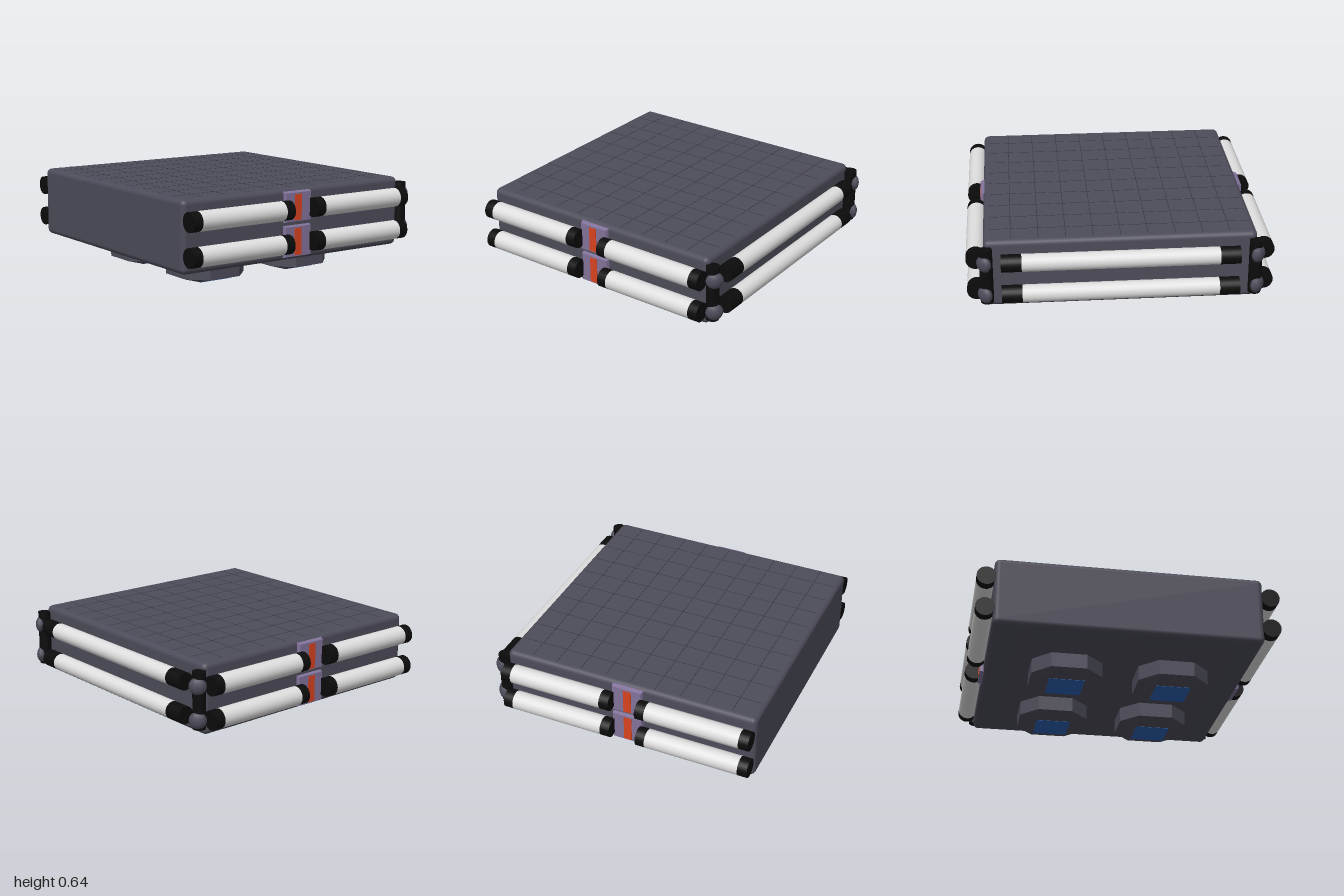
import * as THREE from 'three';
import { RoundedBoxGeometry } from 'three/addons/geometries/RoundedBoxGeometry.js';

const mat = (name, color) => Object.assign(new THREE.MeshStandardMaterial({ color }), { name });

export function createModel() {
  const slate = mat('slate', 0x4d4c5a);
  const groove = mat('groove', 0x35343f);
  const black = mat('black', 0x0c0c0c);
  const white = mat('white', 0xdedede);
  const purple = mat('purple', 0x82729a);
  const orange = mat('orange', 0xd8431f);
  const blue = mat('blue', 0x2a60b0);

  const model = new THREE.Group();
  model.name = 'platform';
  const add = (name, geo, material, x = 0, y = 0, z = 0, parent = model) => {
    const m = new THREE.Mesh(geo, material);
    m.name = name;
    m.position.set(x, y, z);
    parent.add(m);
    return m;
  };

  // Main slab
  add('body', new RoundedBoxGeometry(1.77, 0.47, 1.77, 4, 0.035), slate, 0, 0.405, 0.055);

  // Fine tile lines on the deck
  for (let i = -4; i <= 4; i++) {
    add('deckLine', new THREE.BoxGeometry(0.004, 0.002, 1.7), groove, i * 0.177, 0.64, 0.055);
    add('deckLine', new THREE.BoxGeometry(1.7, 0.002, 0.004), groove, 0, 0.64, 0.055 + i * 0.177);
  }

  // Capped tube along z, from z0 to z1 with end caps of length c
  const tube = (length, c, r) => {
    const g = new THREE.Group();
    g.name = 'bumperTube';
    const cyl = (len, open) => new THREE.CylinderGeometry(r, r, len, 24, 1, open).rotateX(Math.PI / 2);
    add('tubeShaft', cyl(length - 2 * c, true), white, 0, 0, 0, g);
    for (const s of [-1, 1]) add('tubeCap', cyl(c, false), black, 0, 0, s * (length - c) / 2, g);
    model.add(g);
    return g;
  };

  // Raised plate facing +x with bevelled border
  const bevelPlate = (d, h, w, inset) => {
    const g = new THREE.BoxGeometry(d, h, w).toNonIndexed();
    const p = g.attributes.position;
    for (let i = 0; i < p.count; i++) {
      if (p.getX(i) < 0) continue;
      p.setY(i, p.getY(i) - Math.sign(p.getY(i)) * inset);
      p.setZ(i, p.getZ(i) - Math.sign(p.getZ(i)) * inset);
    }
    g.computeVertexNormals();
    return g;
  };

  for (const y of [0.51, 0.287]) {
    // Back bumpers
    const back = tube(1.54, 0.132, 0.058);
    back.rotation.y = Math.PI / 2;
    back.position.set(0.005, y, -0.883);
    for (const s of [-1, 1]) {
      // Side bumpers
      tube(0.78, 0.066, 0.064).position.set(s * 0.936, y, 0.54);
      tube(0.785, 0.066, 0.064).position.set(s * 0.936, y, -0.43);
      // Corner knuckles
      const k = add('cornerKnuckle', new THREE.SphereGeometry(0.058, 10, 8), slate, s * 0.883, y, -0.882);
      k.scale.z = 0.62;
      k.rotation.y = -s * Math.PI / 4;
    }
  }

  for (const s of [-1, 1]) {
    // Corner posts
    add('cornerPost', new THREE.CylinderGeometry(0.043, 0.043, 0.375, 16), black, s * 0.87, 0.413, -0.86);

    // Side lamp panels, turned round for the right side
    const panel = new THREE.Group();
    panel.name = 'lampPanel';
    panel.position.z = 0.055;
    if (s < 0) panel.rotation.y = Math.PI;
    for (const [y, h] of [[0.52, 0.22], [0.294, 0.228]]) {
      add('lampPlate', bevelPlate(0.05, h, 0.234, 0.016), purple, 0.883, y, 0, panel);
      add('lamp', new THREE.BoxGeometry(0.006, h - 0.05, 0.055), orange, 0.909, y - 0.002, s * 0.005, panel);
    }
    model.add(panel);
  }

  // Underside pods: square skirt, octagonal drum, taper to a square lens.
  // Each level is [half width, half length of the flat, y].
  const levels = [[0.36, 0.36, 0.172], [0.235, 0.118, 0.135], [0.235, 0.118, 0.035], [0.118, 0.118, 0.002]];
  const ring = ([h, f, y]) => [[h, f], [f, h], [-f, h], [-h, f], [-h, -f], [-f, -h], [f, -h], [h, -f]]
    .map(([x, z]) => [x, y, z]);
  const verts = [];
  for (let l = 0; l < levels.length - 1; l++) {
    const a = ring(levels[l]), b = ring(levels[l + 1]);
    for (let i = 0; i < 8; i++) {
      const j = (i + 1) % 8;
      // Skip edges that collapse at a square level
      if (levels[l][0] !== levels[l][1] || i % 2) verts.push(...a[i], ...a[j], ...b[i]);
      if (levels[l + 1][0] !== levels[l + 1][1] || i % 2) verts.push(...a[j], ...b[j], ...b[i]);
    }
  }
  const podGeo = new THREE.BufferGeometry();
  podGeo.setAttribute('position', new THREE.Float32BufferAttribute(verts, 3));
  podGeo.computeVertexNormals();
  for (const x of [-0.357, 0.357]) {
    for (const z of [0.413, -0.297]) {
      add('pod', podGeo, slate, x, 0, z);
      add('podLens', new THREE.BoxGeometry(0.236, 0.004, 0.236), blue, x, 0.002, z);
    }
  }
  return model;
}
